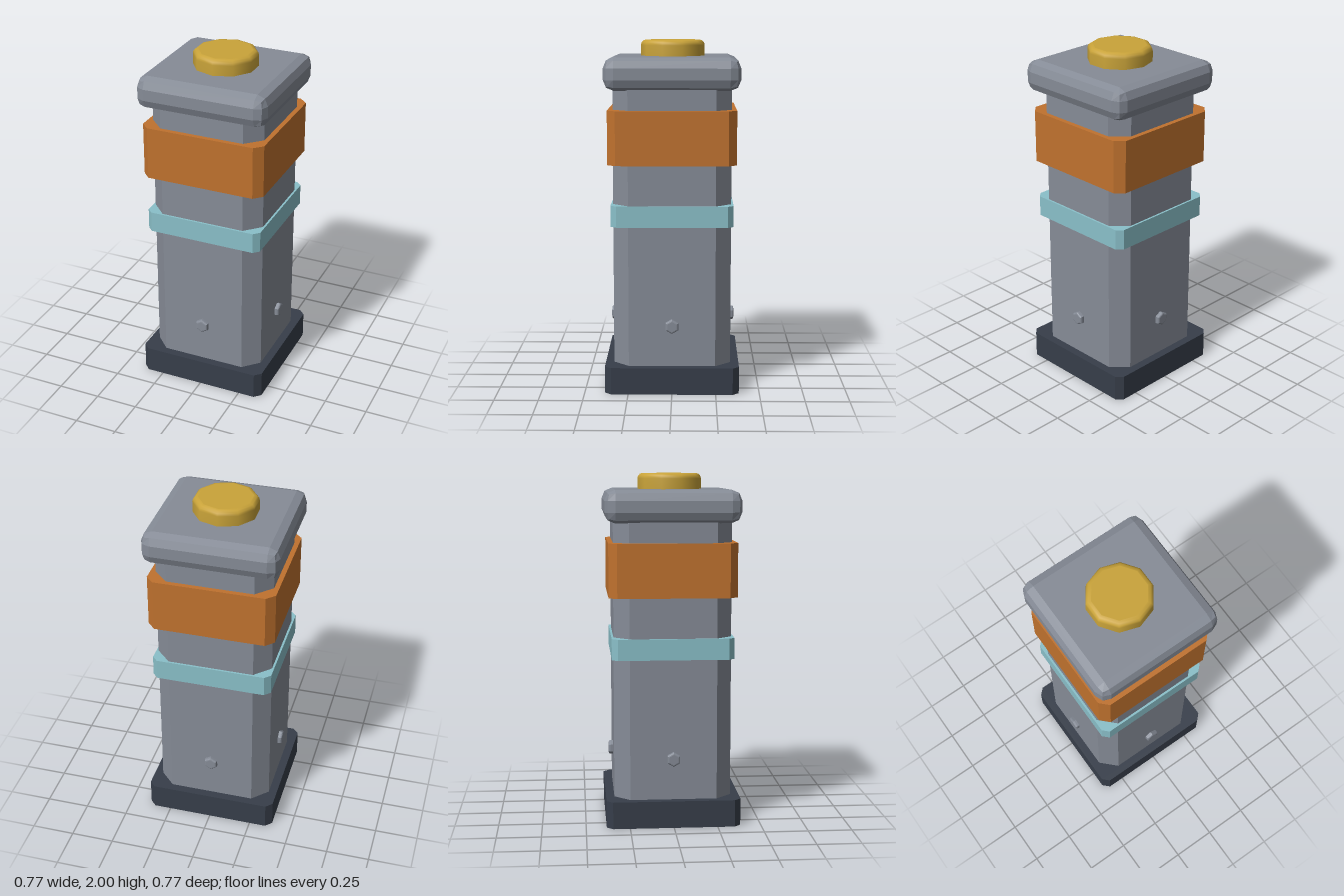
import * as THREE from 'three';
import { RoundedBoxGeometry } from 'three/addons/geometries/RoundedBoxGeometry.js';

const material = (name, color, flatShading = false) => {
  const m = new THREE.MeshStandardMaterial({ color, flatShading });
  m.name = name;
  return m;
};

// Square prism with chamfered vertical corners: half width, start of chamfer, bottom, top
function chamferedPrism(half, flat, y0, y1) {
  const corners = [[flat, -half], [half, -flat], [half, flat], [flat, half],
    [-flat, half], [-half, flat], [-half, -flat], [-flat, -half]];
  const shape = new THREE.Shape(corners.map(([x, y]) => new THREE.Vector2(x, y)));
  const geometry = new THREE.ExtrudeGeometry(shape, { depth: y1 - y0, bevelEnabled: false });
  return geometry.rotateX(-Math.PI / 2).translate(0, y0, 0);
}

// Faceted disc along +y with a rounded upper rim
function roundedDisc(radius, height, bevel, sides) {
  const profile = [new THREE.Vector2(radius, 0)];
  for (let i = 0; i <= 3; i++) {
    const a = (i / 3) * Math.PI / 2;
    profile.push(new THREE.Vector2(
      radius - bevel + bevel * Math.cos(a), height - bevel + bevel * Math.sin(a)));
  }
  profile.push(new THREE.Vector2(radius - bevel - 0.002, height), new THREE.Vector2(0, height));
  return new THREE.LatheGeometry(profile, sides);
}

export function createModel() {
  const group = new THREE.Group();
  const grey = material('grey metal', 0x868c97, true);
  const dark = material('dark base', 0x373e4a, true);
  const orange = material('orange', 0xc0722e, true);
  const teal = material('pale teal', 0x8ac0c9, true);
  const gold = material('gold', 0xc9a339);

  const add = (name, geometry, mat, parent = group) => {
    const mesh = new THREE.Mesh(geometry, mat);
    mesh.name = name;
    parent.add(mesh);
    return mesh;
  };

  // Post and its bands
  add('base', chamferedPrism(0.383, 0.347, 0, 0.155), dark);
  add('post', chamferedPrism(0.335, 0.247, 0.155, 1.76), grey);
  add('lowerBand', chamferedPrism(0.347, 0.314, 0.96, 1.08), teal);
  add('upperBand', chamferedPrism(0.363, 0.316, 1.31, 1.615), orange);

  // Cap with two-step rounded edges
  add('cap', new RoundedBoxGeometry(0.766, 0.185, 0.766, 1, 0.06), grey).position.y = 1.8175;

  // Button on top
  add('topButton', roundedDisc(0.184, 0.1, 0.03, 10), gold).position.y = 1.9;

  // One hexagonal bolt on each side
  const boltGeometry = roundedDisc(0.042, 0.035, 0.012, 6).rotateX(Math.PI / 2);
  for (let i = 0; i < 4; i++) {
    const angle = i * Math.PI / 2;
    const bolt = add('bolt', boltGeometry, grey);
    bolt.rotation.y = angle;
    bolt.position.set(Math.sin(angle) * 0.325, 0.39, Math.cos(angle) * 0.325);
  }
  return group;
}
